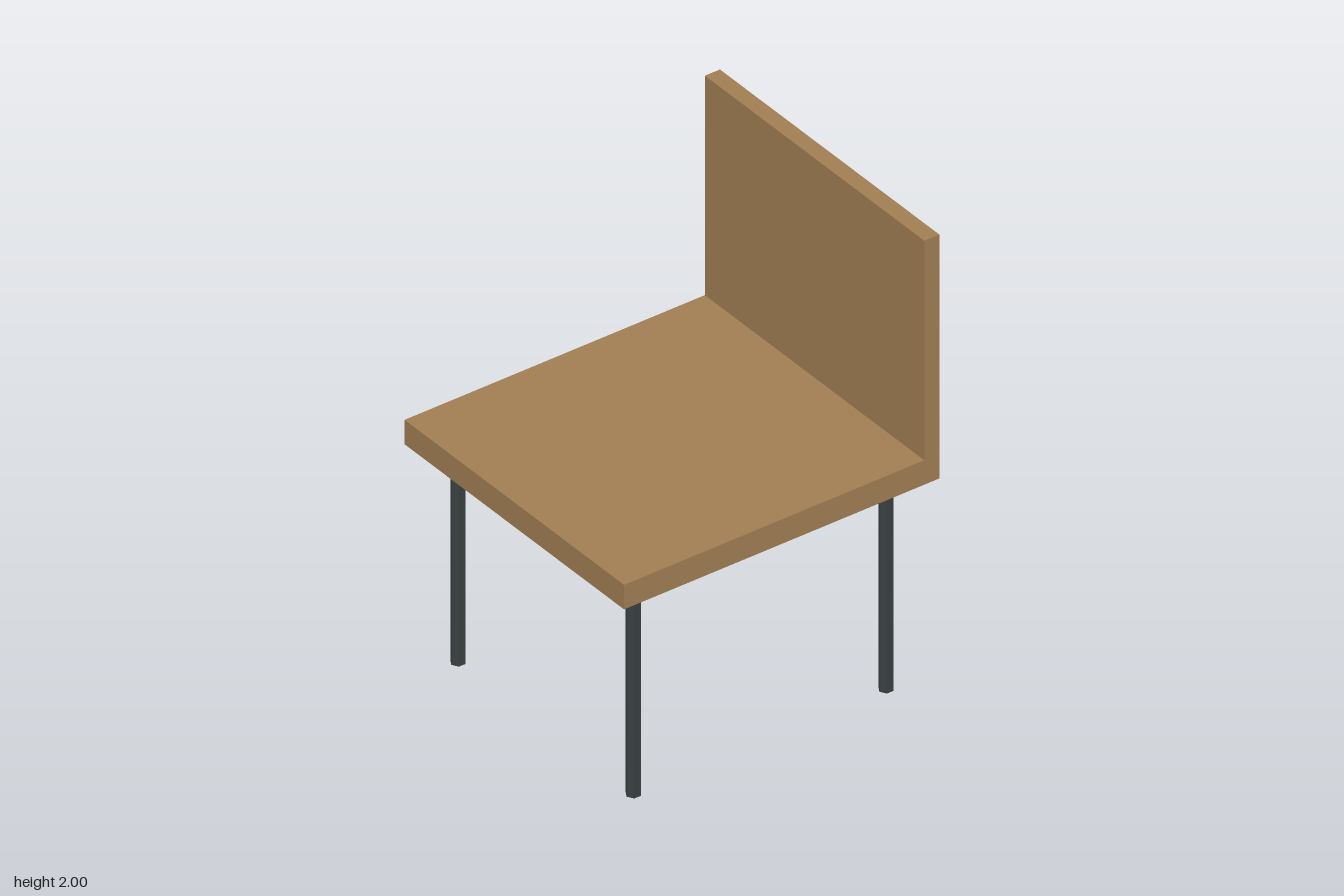
import * as THREE from 'three';

export function createModel() {
  const model = new THREE.Group();
  model.name = 'chair';

  const wood = new THREE.MeshStandardMaterial({ color: 0xa37f55 });
  wood.name = 'wood';
  const metal = new THREE.MeshStandardMaterial({ color: 0x3a4140, flatShading: true });
  metal.name = 'dark metal';

  const width = 1.332, halfDepth = 0.711;
  const seatBottom = 0.935, seatTop = 1.042, backTop = 2, backFront = -0.643;

  // Seat and backrest: one L-shaped side profile (z, y) extruded across the width
  const profile = new THREE.Shape([
    [halfDepth, seatBottom], [halfDepth, seatTop], [backFront, seatTop],
    [backFront, backTop], [-halfDepth, backTop], [-halfDepth, seatBottom],
  ].map(([z, y]) => new THREE.Vector2(-z, y)));
  const seatGeometry = new THREE.ExtrudeGeometry(profile, { depth: width, bevelEnabled: false });
  seatGeometry.translate(0, 0, -width / 2).rotateY(Math.PI / 2);
  const seat = new THREE.Mesh(seatGeometry, wood);
  seat.name = 'seatAndBackrest';
  model.add(seat);

  // Four slim hexagonal legs
  const legGeometry = new THREE.CylinderGeometry(0.03, 0.03, seatBottom, 6);
  for (const [side, x] of [['Left', 0.532], ['Right', -0.532]]) {
    for (const [end, z] of [['front', 0.57], ['back', -0.57]]) {
      const leg = new THREE.Mesh(legGeometry, metal);
      leg.name = `${end}${side}Leg`;
      leg.position.set(x, seatBottom / 2, z);
      model.add(leg);
    }
  }
  return model;
}
